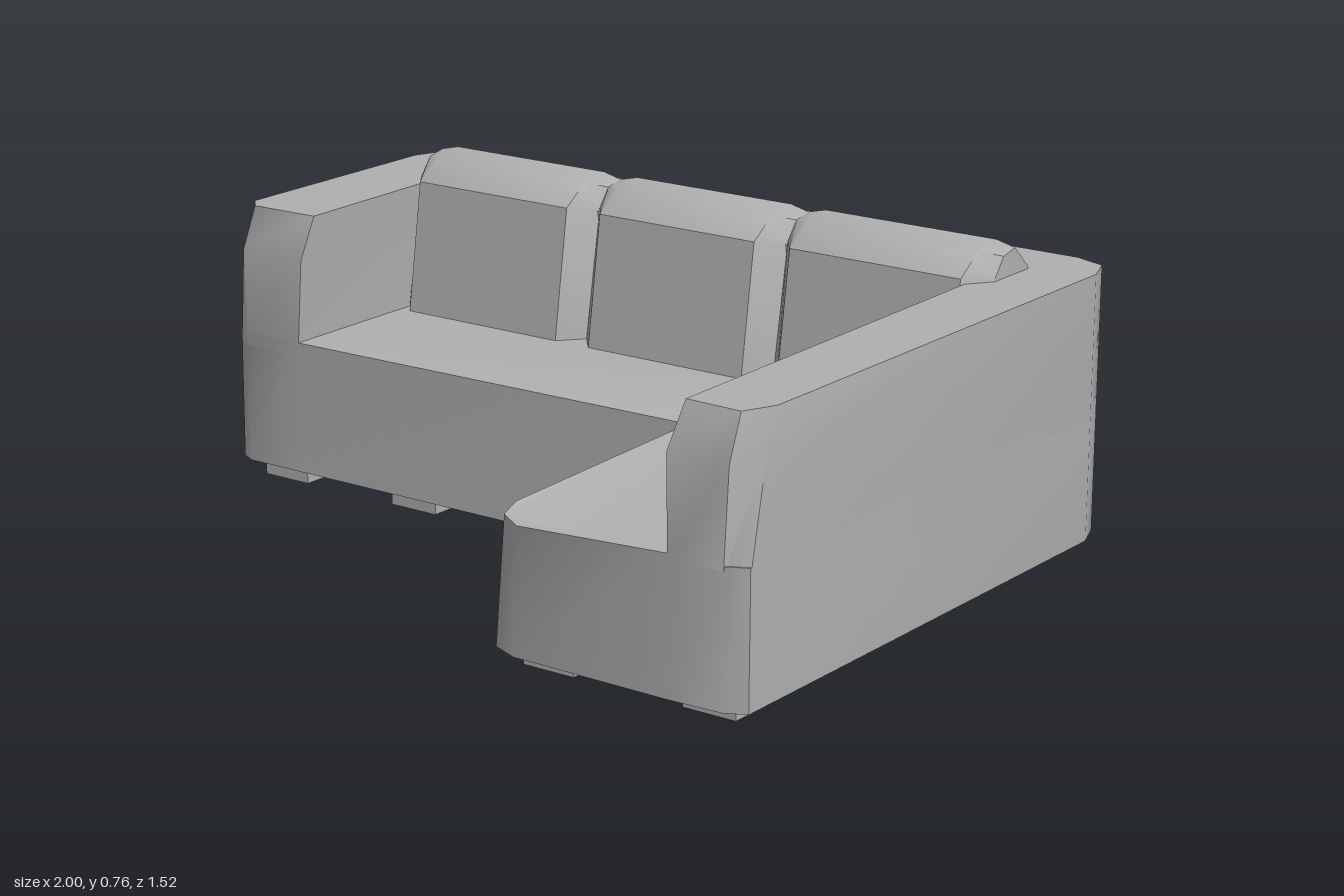
import * as THREE from 'three';
import { toCreasedNormals } from 'three/addons/utils/BufferGeometryUtils.js';

// Skins matching rings of [x, y, z] points and closes both ends.
// project gives the 2D plane in which the rings run counter-clockwise.
function loft(rings, project, crease) {
  const pos = [];
  const tri = (a, b, c) => pos.push(...a, ...b, ...c);
  const n = rings[0].length;
  for (let k = 0; k < rings.length - 1; k++) {
    const a = rings[k], b = rings[k + 1];
    for (let i = 0; i < n; i++) {
      const j = (i + 1) % n;
      tri(a[i], a[j], b[j]);
      tri(a[i], b[j], b[i]);
    }
  }
  const cap = (ring, flip) => {
    const flat = ring.map((p) => new THREE.Vector2(...project(p)));
    for (const [i, j, k] of THREE.ShapeUtils.triangulateShape(flat, [])) {
      if (flip) tri(ring[k], ring[j], ring[i]);
      else tri(ring[i], ring[j], ring[k]);
    }
  };
  cap(rings[0], true);
  cap(rings[rings.length - 1], false);
  const geo = new THREE.BufferGeometry();
  geo.setAttribute('position', new THREE.Float32BufferAttribute(pos, 3));
  return toCreasedNormals(geo, crease);
}

const fromAbove = ([x, , z]) => [x, -z];
const fromSide = ([, y, z]) => [y, z];
// Plan points [x, z] at height y; a third value overrides the height
const level = (y, pts) => pts.map(([x, z, own]) => [x, own ?? y, z]);

export function createModel() {
  const group = new THREE.Group();
  const fabric = new THREE.MeshStandardMaterial({ color: 0xb0b0b0 });
  fabric.name = 'grey fabric';

  const add = (name, geo) => {
    const mesh = new THREE.Mesh(geo, fabric);
    mesh.name = name;
    group.add(mesh);
    return mesh;
  };

  // Rounded back corners shared by the base and the frame
  const back = [[1, -0.65], [0.97, -0.73], [0.89, -0.76], [-0.89, -0.76], [-0.97, -0.73], [-1, -0.65]];

  // L-shaped seat base with a chaise on the left
  add('seatBase', loft([
    level(0.043, [...back, [-1, 0.03], [-0.96, 0.05], [-0.8, 0.05], [0.335, 0.05],
      [0.315, 0.66], [0.34, 0.725], [0.41, 0.755], [0.81, 0.76], [0.95, 0.755], [1, 0.73]]),
    level(0.372, [...back, [-1, 0.03], [-0.96, 0.05], [-0.8, 0.05], [0.345, 0.028],
      [0.345, 0.66, 0.355], [0.36, 0.72, 0.345], [0.42, 0.755, 0.34], [0.81, 0.755, 0.36],
      [0.95, 0.755, 0.36], [1, 0.73, 0.36]]),
  ], fromAbove, 0.9));

  // Backrest and both arms in one U, with sloped arm fronts
  add('backAndArms', loft([
    level(0.34, [...back, [-1, 0.03], [-0.96, 0.05], [-0.8, 0.05],
      [-0.8, -0.45], [0.81, -0.45], [0.81, 0.755], [0.95, 0.755], [1, 0.73]]),
    level(0.58, [...back, [-1, 0.0], [-0.97, 0.05], [-0.785, 0.05],
      [-0.795, -0.45], [0.81, -0.45], [0.81, 0.76], [0.965, 0.76], [1, 0.68]]),
    level(0.683, [...back, [-1, -0.03], [-0.965, 0.01], [-0.78, 0.005],
      [-0.79, -0.45], [0.805, -0.45], [0.825, 0.715], [0.965, 0.72], [1, 0.64]]),
  ], fromAbove, 0.9));

  // Three back cushions, pinched in at their ends
  const full = [[0.36, -0.63], [0.69, -0.63], [0.757, -0.54], [0.745, -0.46], [0.695, -0.388], [0.36, -0.34]];
  const pinched = [[0.36, -0.6], [0.69, -0.6], [0.745, -0.54], [0.735, -0.49], [0.69, -0.455], [0.36, -0.4]];
  const section = (x, profile) => profile.map(([y, z]) => [x, y, z]);
  const seams = [-0.82, -0.262, 0.287, 0.85];
  for (let i = 0; i < 3; i++) {
    const x0 = seams[i], x1 = seams[i + 1];
    add('backCushion' + (i + 1), loft([
      section(x0, pinched), section(x0 + 0.05, full),
      section(x1 - 0.05, full), section(x1, pinched),
    ], fromSide, 0.65));
  }

  // Low block feet
  const footGeo = new THREE.BoxGeometry(0.135, 0.05, 0.13);
  const feet = [];
  for (const x of [-0.88, -0.475, 0.45, 0.87]) feet.push([x, -0.64]);
  for (const x of [-0.88, -0.475, 0.45]) feet.push([x, -0.055]);
  for (const x of [0.45, 0.87]) feet.push([x, 0.62]);
  feet.forEach(([x, z], i) => add('foot' + (i + 1), footGeo).position.set(x, 0.025, z));

  return group;
}
